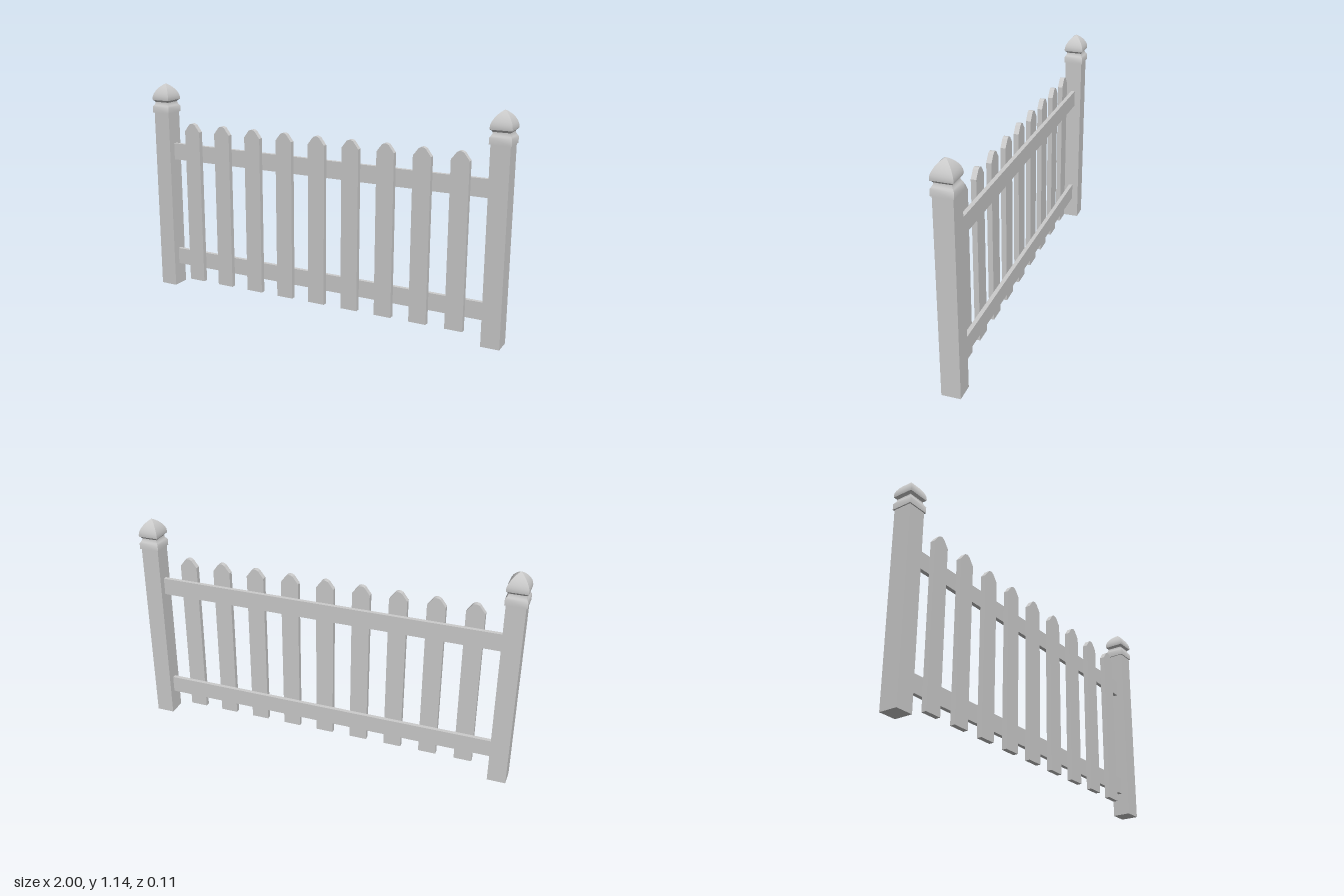
import * as THREE from 'three';
import { toCreasedNormals } from 'three/addons/utils/BufferGeometryUtils.js';

const material = new THREE.MeshStandardMaterial({ color: 0xcccccc });

function addMesh(parent, name, geometry, x = 0, y = 0, z = 0) {
  const mesh = new THREE.Mesh(geometry, material);
  mesh.name = name;
  mesh.position.set(x, y, z);
  parent.add(mesh);
  return mesh;
}

// Square turned cap: a four-sided lathe, profile given as [half width, height]
function capGeometry() {
  const collar = [[0, 0.985], [0.053, 0.985], [0.053, 1.016]];
  const neck = [[0.047, 1.025], [0.042, 1.034], [0.041, 1.042], [0.045, 1.048]];
  const dome = [[0.052, 1.053], [0.053, 1.062], [0.051, 1.076], [0.046, 1.09],
    [0.037, 1.106], [0.026, 1.12], [0.014, 1.131], [0.006, 1.137], [0, 1.14]];
  const points = [...collar, ...neck, ...dome]
    .map(([half, y]) => new THREE.Vector2(half * Math.SQRT2, y));
  return toCreasedNormals(new THREE.LatheGeometry(points, 4, Math.PI / 4), 0.7);
}

// Flat board with a softly pointed top
function picketGeometry(half, bottom, depth) {
  const shape = new THREE.Shape();
  shape.moveTo(-half, bottom);
  shape.lineTo(half, bottom);
  shape.lineTo(half, 0.895);
  shape.lineTo(0.018, 0.932);
  shape.quadraticCurveTo(0, 0.945, -0.018, 0.932);
  shape.lineTo(-half, 0.895);
  shape.closePath();
  return new THREE.ExtrudeGeometry(shape, { depth, bevelEnabled: false, curveSegments: 6 });
}

export function createModel() {
  const fence = new THREE.Group();
  fence.name = 'picketFence';

  // End posts with caps
  const post = new THREE.BoxGeometry(0.094, 0.99, 0.094);
  const cap = capGeometry();
  for (const [side, x] of [['left', 0.947], ['right', -0.947]]) {
    const group = new THREE.Group();
    group.name = side + 'Post';
    group.position.x = x;
    addMesh(group, 'postShaft', post, 0, 0.495, 0);
    addMesh(group, 'postCap', cap);
    fence.add(group);
  }

  // Horizontal rails
  const rail = new THREE.BoxGeometry(1.81, 0.09, 0.021);
  addMesh(fence, 'lowerRail', rail, 0, 0.165, -0.002);
  addMesh(fence, 'upperRail', rail, 0, 0.77, -0.002);

  // Pickets on the front of the rails
  const picket = picketGeometry(0.046, 0.05, 0.026);
  for (let i = -4; i <= 4; i++) addMesh(fence, 'picket' + (i + 5), picket, i * 0.1893, 0, 0.0085);

  return fence;
}
